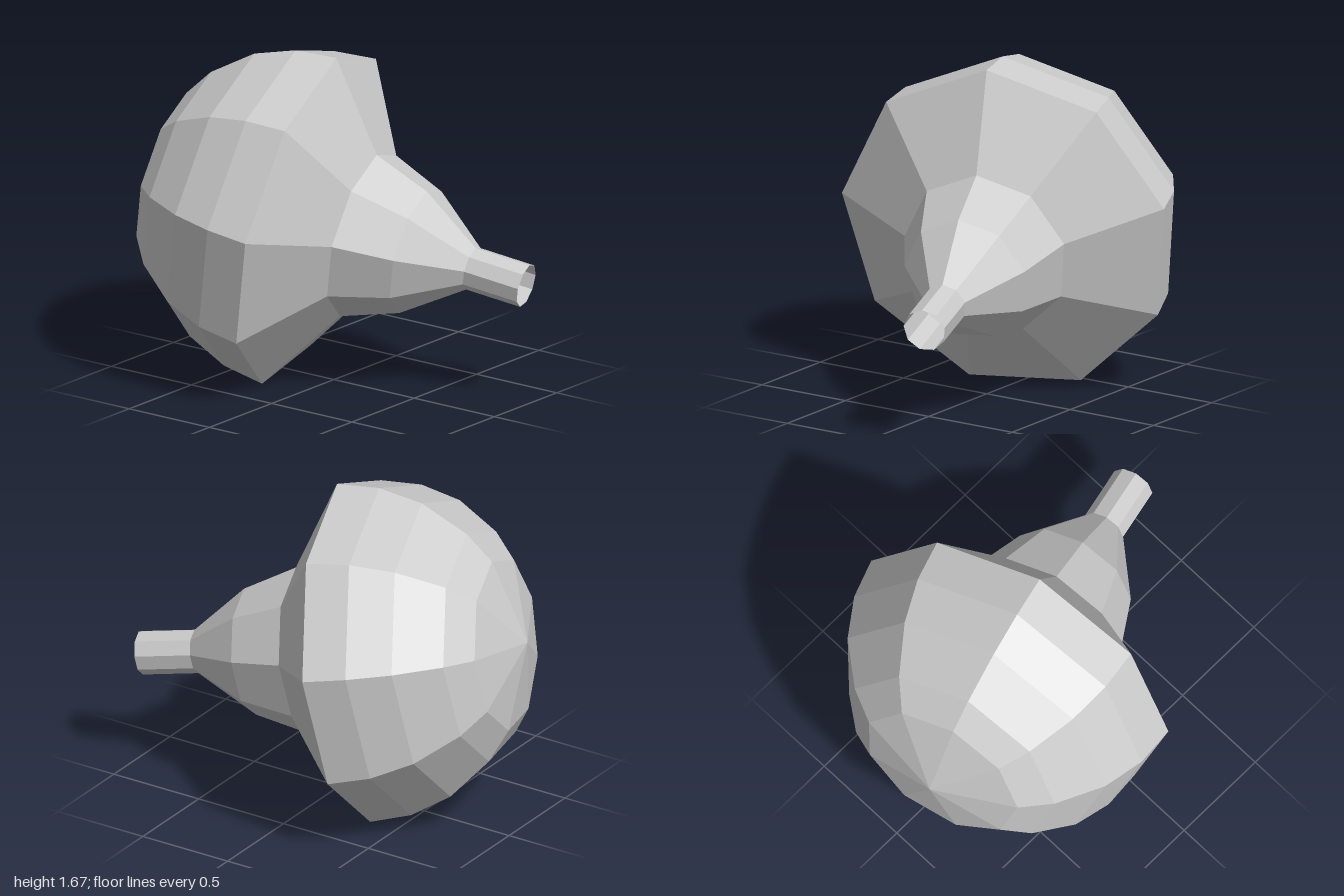
import * as THREE from 'three';

const SIDES = 9;
const RADIUS = 0.863;

export function createModel() {
  const group = new THREE.Group();
  const material = new THREE.MeshStandardMaterial({
    color: 0xcccccc, flatShading: true, side: THREE.DoubleSide,
  });

  // Tilted body: local +y runs from the bulb's pole out through the spout
  const body = new THREE.Group();
  body.name = 'tiltedBody';
  const axis = new THREE.Vector3(0.952, -0.183, -0.246).normalize();
  const ridge = new THREE.Vector3(0.19, 0.982, 0.005);
  ridge.addScaledVector(axis, -ridge.dot(axis)).normalize();
  const across = new THREE.Vector3().crossVectors(axis, ridge);
  body.quaternion.setFromRotationMatrix(new THREE.Matrix4().makeBasis(across, axis, ridge));
  body.position.set(-0.154, 0.812, -0.01);
  group.add(body);

  // Each part is a nine-sided turned shell; profile points are [radius, height]
  const addTurned = (name, profile) => {
    const points = profile.map(([r, h]) => new THREE.Vector2(r, h));
    const mesh = new THREE.Mesh(new THREE.LatheGeometry(points, SIDES), material);
    mesh.name = name;
    body.add(mesh);
  };

  // Rounded bulb, from the pole to the wide rim
  const dome = [90, 60, 47.7, 29.8, 14.6, 0].map((deg) => {
    const a = THREE.MathUtils.degToRad(deg);
    return [Math.max(0, RADIUS * Math.cos(a)), -RADIUS * Math.sin(a)];
  });
  addTurned('bulb', dome);

  // Sloping shoulder, tapering collar and open spout
  addTurned('shoulder', [[RADIUS, 0], [0.427, 0.291]]);
  addTurned('collar', [[0.427, 0.291], [0.322, 0.583], [0.11, 0.882]]);
  addTurned('spout', [[0.11, 0.882], [0.11, 1.176]]);

  return group;
}
